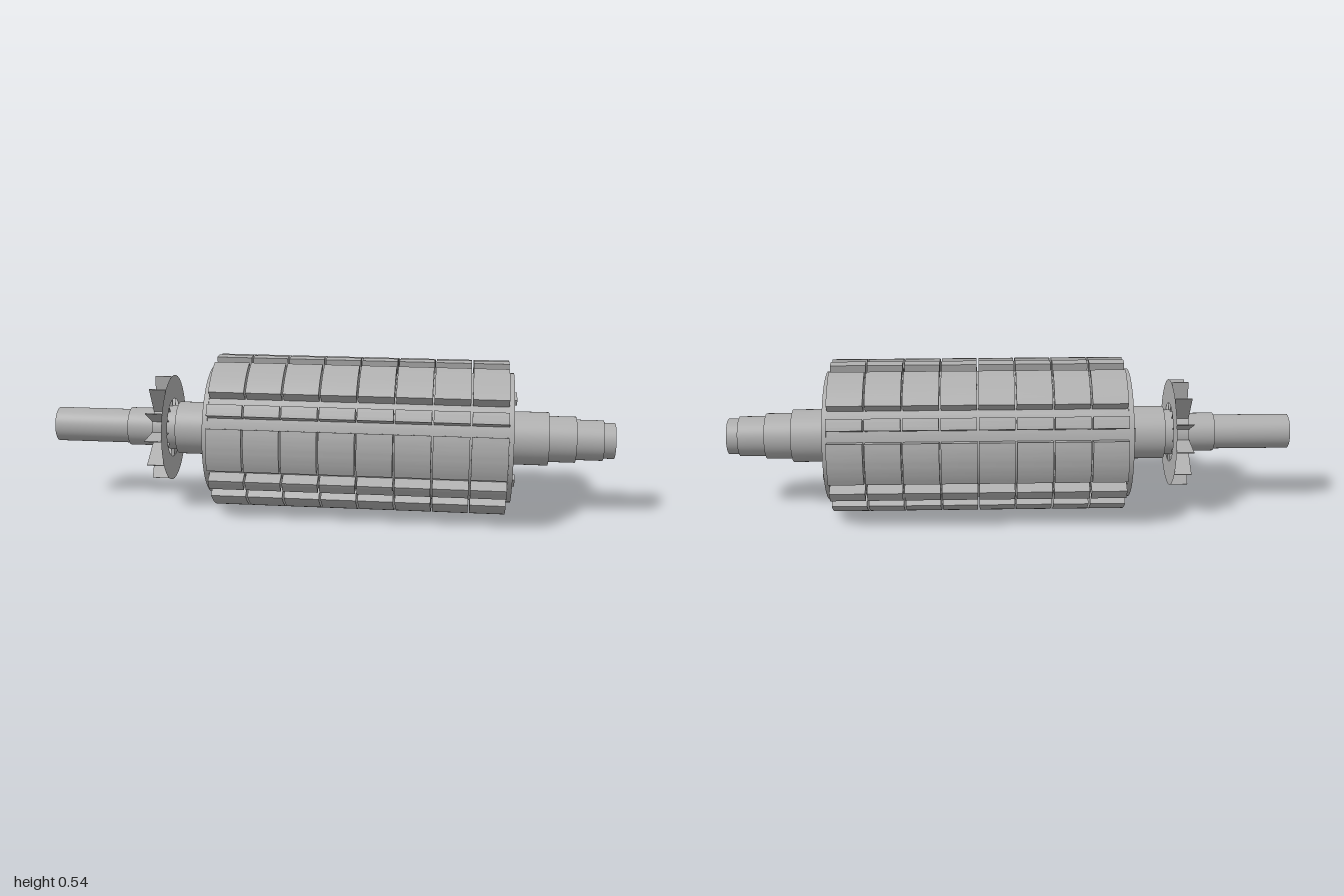
import * as THREE from 'three';
import { toCreasedNormals } from 'three/addons/utils/BufferGeometryUtils.js';

const AXIS_Y = 0.2715;
const rad = THREE.MathUtils.degToRad;

export function createModel() {
  const model = new THREE.Group();
  const rotor = new THREE.Group();
  rotor.name = 'rotor';
  rotor.position.y = AXIS_Y;
  model.add(rotor);

  const steel = new THREE.MeshStandardMaterial({ color: 0xb0b0b0 });
  steel.name = 'steel grey';

  const add = (name, geometry, parent = rotor) => {
    const mesh = new THREE.Mesh(geometry, steel);
    mesh.name = name;
    parent.add(mesh);
    return mesh;
  };

  // Round section lying along x
  const round = (name, x0, x1, r) => {
    const g = new THREE.CylinderGeometry(r, r, x1 - x0, 64);
    g.rotateZ(-Math.PI / 2).translate((x0 + x1) / 2, 0, 0);
    return add(name, g);
  };

  // Stepped shaft
  [
    [-1, -0.73, 0.061], [-0.73, -0.635, 0.068], [-0.635, -0.55, 0.08],
    [-0.55, -0.42, 0.094], [0.64, 0.77, 0.094], [0.77, 0.865, 0.081],
    [0.865, 0.96, 0.071], [0.96, 1, 0.063],
  ].forEach(([x0, x1, r]) => round('shaftSection', x0, x1, r));

  // Core and end plates
  round('core', -0.405, 0.628, 0.226);
  round('endPlateRight', -0.423, -0.405, 0.229);
  round('endPlateLeft', 0.628, 0.643, 0.229);

  // Curved pole block between two radii, extruded along x
  const poleGeometry = (halfAngle, length) => {
    const shape = new THREE.Shape();
    shape.absarc(0, 0, 0.2715, -halfAngle, halfAngle, false);
    shape.absarc(0, 0, 0.225, halfAngle, -halfAngle, true);
    shape.closePath();
    const g = new THREE.ExtrudeGeometry(shape, { depth: length, bevelEnabled: false, curveSegments: 10 });
    g.rotateY(Math.PI / 2);
    return toCreasedNormals(g, 0.5);
  };

  // Eight rows of alternating wide and narrow pole blocks
  const rows = 8, start = -0.405, pitch = 1.033 / rows, gap = 0.006;
  const wide = poleGeometry(rad(16.2), pitch - gap);
  const narrow = poleGeometry(rad(4.4), pitch - gap);
  for (let i = 0; i < rows; i++) {
    const row = new THREE.Group();
    row.name = 'poleRow';
    row.position.x = start + i * pitch + gap / 2;
    rotor.add(row);
    for (let k = 0; k < 12; k++) {
      const isWide = k % 2 === 0;
      const pole = add(isWide ? 'widePole' : 'narrowPole', isWide ? wide : narrow, row);
      pole.rotation.x = k * Math.PI / 6;
    }
  }

  // Balance blocks on the end plates, placed by angle from +z
  const balanceBlock = (x, degrees) => {
    const g = new THREE.BoxGeometry(0.02, 0.045, 0.021);
    g.translate(x, 0, 0.174);
    add('balanceBlock', g).rotation.x = -rad(degrees);
  };
  [67, -41.5, -145].forEach((a) => balanceBlock(0.643, a));
  [160, 40, 280].forEach((a) => balanceBlock(-0.423, a));

  // Fan: one-sided ring facing the core, with radial blades behind it
  const ring = new THREE.RingGeometry(0.105, 0.19, 64);
  ring.rotateY(Math.PI / 2).translate(-0.575, 0, 0);
  add('fanDisc', ring);
  const blade = new THREE.BoxGeometry(0.06, 0.003, 0.112);
  blade.translate(-0.606, 0, 0.134);
  for (let i = 0; i < 12; i++) {
    add('fanBlade', blade).rotation.x = i * Math.PI / 6;
  }

  return model;
}
